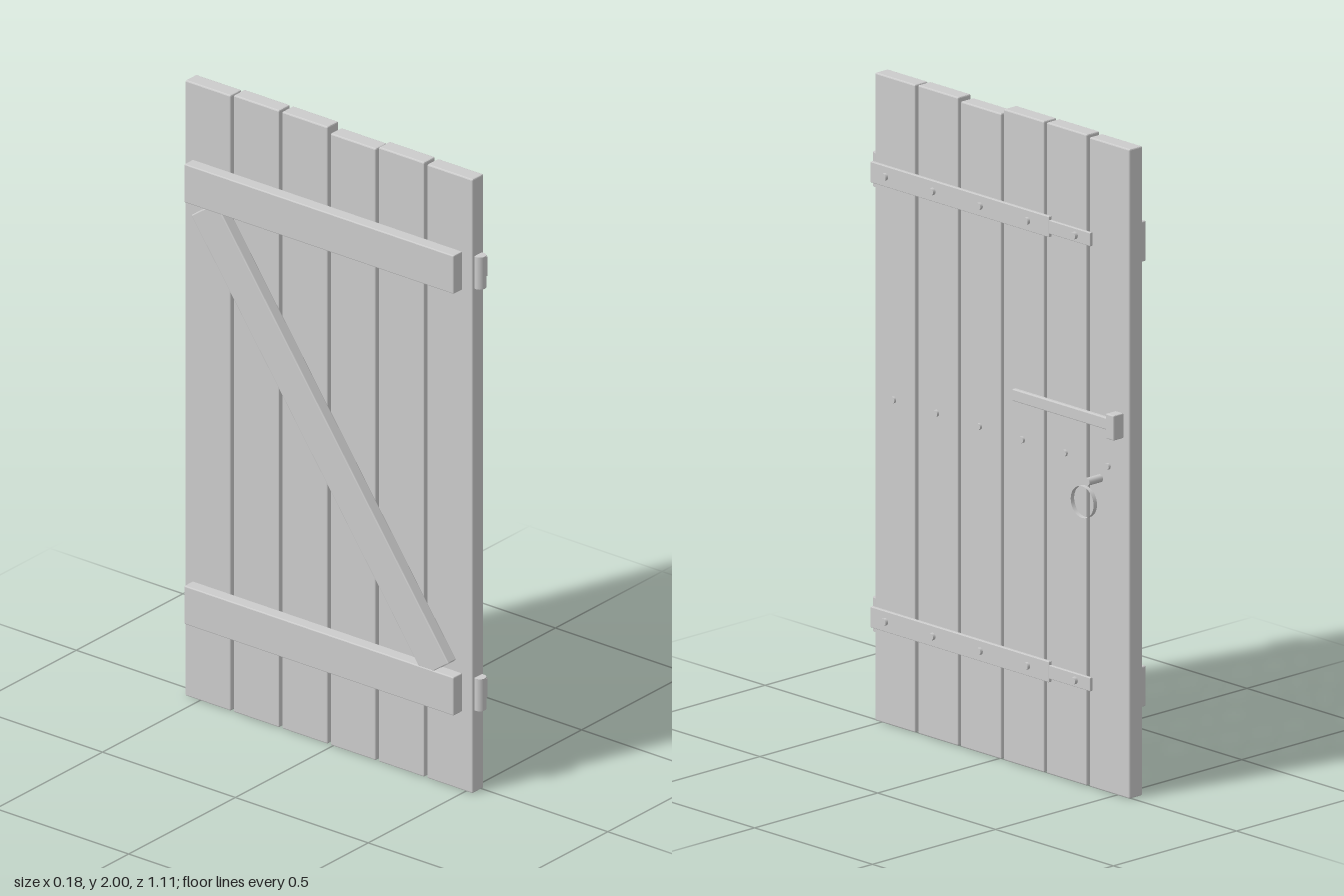
import * as THREE from 'three';
import { RoundedBoxGeometry } from 'three/addons/geometries/RoundedBoxGeometry.js';

const grey = new THREE.MeshStandardMaterial({ color: 0xcccccc });
grey.name = 'plain grey';
const greyThin = new THREE.MeshStandardMaterial({ color: 0xcccccc, side: THREE.DoubleSide });
greyThin.name = 'plain grey, two sided';

export function createModel() {
  const door = new THREE.Group();
  door.name = 'plankDoor';

  const add = (name, geometry, x, y, z, material = grey) => {
    const mesh = new THREE.Mesh(geometry, material);
    mesh.name = name;
    mesh.position.set(x, y, z);
    door.add(mesh);
    return mesh;
  };

  // Chamfered box given by its limits on each axis
  const box = (name, [x0, x1], [y0, y1], [z0, z1], bevel = 0.002) => {
    const geometry = new RoundedBoxGeometry(x1 - x0, y1 - y0, z1 - z0, 1, bevel);
    geometry.computeVertexNormals();
    return add(name, geometry, (x0 + x1) / 2, (y0 + y1) / 2, (z0 + z1) / 2);
  };

  // Round pin pointing along x
  const pin = (name, x0, x1, y, z, r) =>
    add(name, new THREE.CylinderGeometry(r, r, x1 - x0, 16).rotateZ(-Math.PI / 2), (x0 + x1) / 2, y, z);

  // Six upright planks of slightly uneven height, one nail in each
  const tops = [1.995, 2.0, 2.0, 1.983, 1.992, 1.99];
  const pitch = 0.182;
  tops.forEach((top, i) => {
    const z = -0.555 + i * pitch;
    box('plank', [-0.044, 0.008], [0, top], [z, z + 0.171], 0.004);
    pin('nail', 0.004, 0.016, 1.003, -0.465 + i * pitch, 0.01);
  });

  // Ledge, strap hinge, bolts and knuckle at two heights
  for (const y of [0.32, 1.687]) {
    box('ledge', [-0.089, -0.047], [y - 0.062, y + 0.062], [-0.523, 0.491], 0.003);
    box('hingeStrap', [0.011, 0.023], [y - 0.032, y + 0.032], [-0.228, 0.53]);
    box('hingeStrapTip', [0.012, 0.022], [y - 0.021, y + 0.021], [-0.402, -0.22]);
    for (let i = 0; i < 5; i++) pin('hingeBolt', 0.018, 0.033, y, 0.465 - i * 0.201, 0.011);
    add('hingeKnuckle', new THREE.CylinderGeometry(0.019, 0.019, 0.104, 20), -0.018, y, 0.533);
  }

  // Diagonal brace between the ledges
  const brace = box('brace', [-0.087, -0.05], [1.005 - 0.0575, 1.005 + 0.0575], [-0.771, 0.743], 0.003);
  brace.rotation.x = Math.atan2(0.618, 0.4375);

  // Latch bar and its keeper
  box('latchBar', [0.016, 0.031], [1.122, 1.159], [-0.49, -0.08], 0.003);
  box('latchKeeper', [0.008, 0.049], [1.103, 1.18], [-0.53, -0.496], 0.003);

  // Handle peg and pull ring
  pin('handlePeg', 0.004, 0.063, 0.958, -0.43, 0.012);
  const ring = new THREE.CylinderGeometry(0.0485, 0.0485, 0.014, 32, 1, true).rotateZ(Math.PI / 2);
  add('pullRing', ring, 0.081, 0.903, -0.437, greyThin);

  return door;
}
